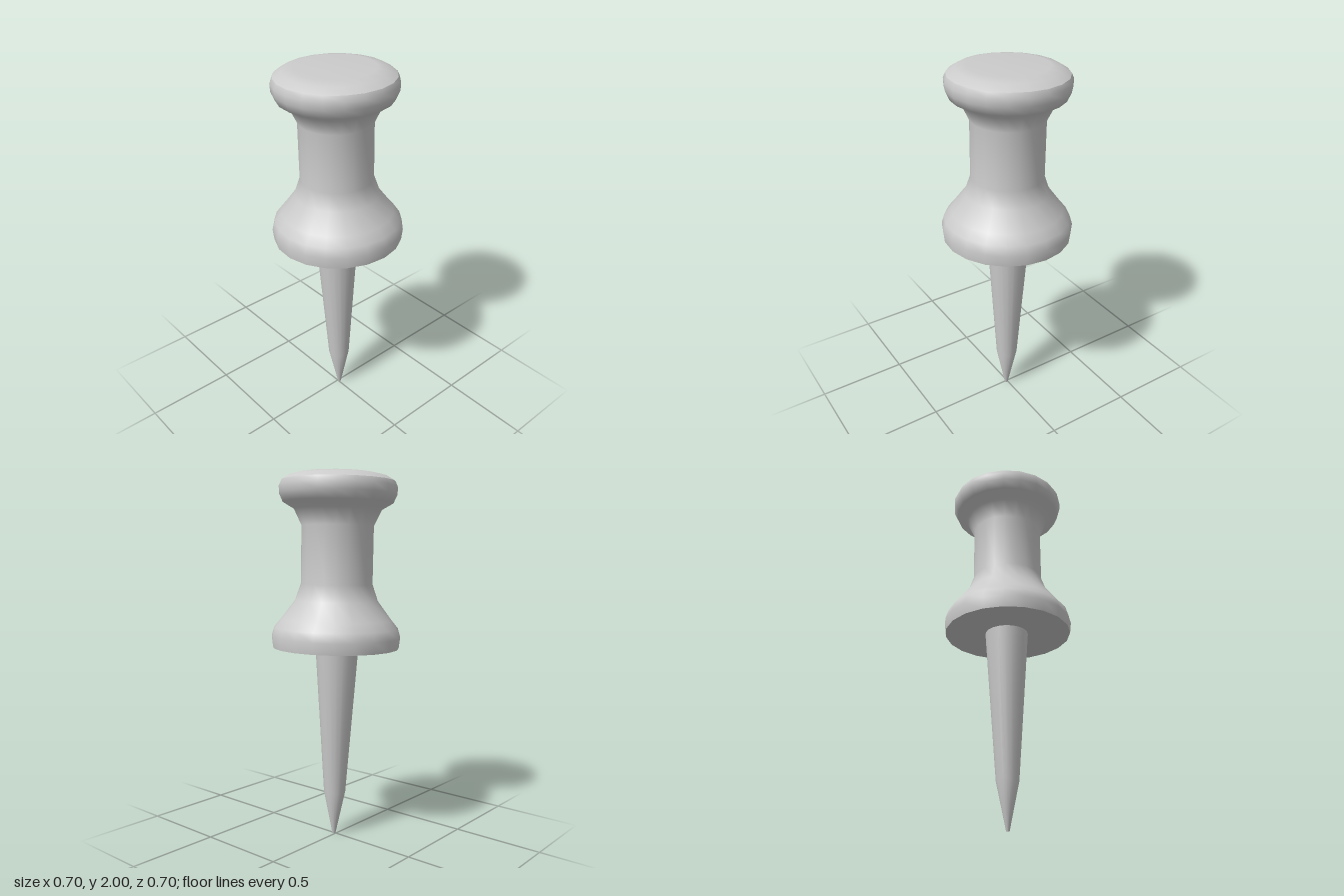
import * as THREE from 'three';

const SIDES = 20;
const PHASE = 0.049; // turn of the polygon about the axis

export function createModel() {
  const model = new THREE.Group();
  model.name = 'pushPin';
  const material = new THREE.MeshStandardMaterial({ color: 0xcccccc });

  // Turned part from [radius, height] pairs, listed bottom to top
  function turned(name, profile) {
    const points = profile.map(([r, y]) => new THREE.Vector2(r, y));
    const mesh = new THREE.Mesh(new THREE.LatheGeometry(points, SIDES, PHASE), material);
    mesh.name = name;
    return mesh;
  }

  // The whole pin leans slightly to one side
  const pin = new THREE.Group();
  pin.name = 'pin';
  pin.rotation.set(0.006, 0, 0.0157);
  pin.position.set(0.0175, 0, -0.0066);
  model.add(pin);

  // Flat underside of the flared base
  pin.add(turned('baseUnderside', [[0, 1.07], [0.345, 1.07]]));

  // Flared base, waist and rim of the head
  pin.add(turned('grip', [
    [0.345, 1.07], [0.352, 1.13], [0.337, 1.18], [0.3, 1.225], [0.225, 1.325],
    [0.194, 1.415], [0.194, 1.725], [0.235, 1.81], [0.295, 1.845],
    [0.315, 1.89], [0.317, 1.93], [0.305, 1.957],
  ]));

  // Gently domed top with a flat middle
  pin.add(turned('headTop', [[0.305, 1.957], [0.262, 1.983], [0.205, 1.996], [0, 1.997]]));

  // Tapered spike with a steeper point, a touch off the grip's axis
  const spike = turned('spike', [[0, 0], [0.009, 0.002], [0.06, 0.25], [0.118, 1.075]]);
  spike.position.x = -0.009;
  pin.add(spike);

  return model;
}
